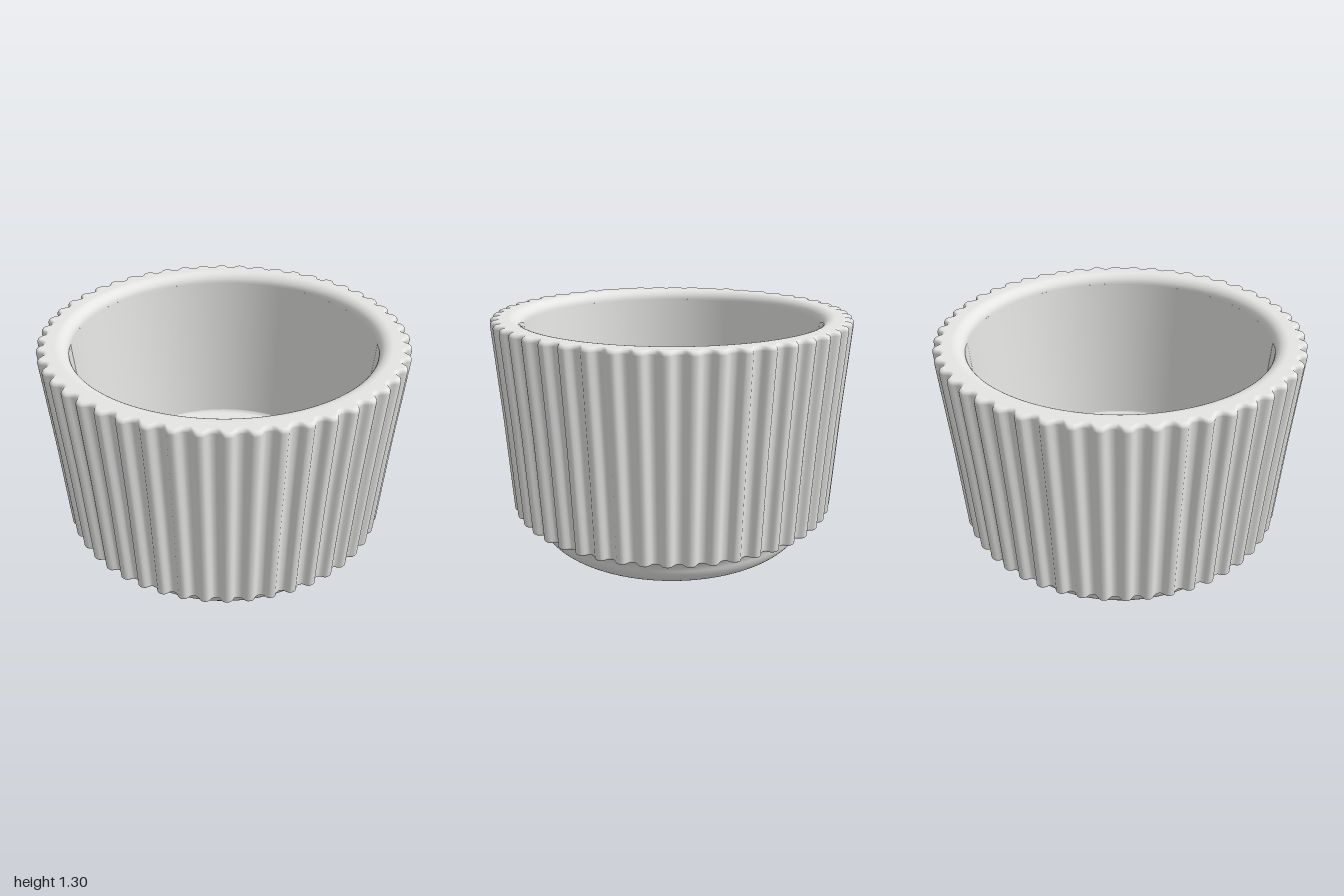
import * as THREE from 'three';
import { mergeVertices } from 'three/addons/utils/BufferGeometryUtils.js';

const RIBS = 50;
const DEPTH = 0.034;
const FLOOR = 0.3;

// points on an elliptical arc, angles in degrees
function arc(cx, cy, rx, ry, from, to, steps) {
  const pts = [];
  for (let i = 0; i <= steps; i++) {
    const a = THREE.MathUtils.degToRad(from + ((to - from) * i) / steps);
    pts.push([cx + rx * Math.cos(a), cy + ry * Math.sin(a), 1]);
  }
  return pts;
}

// inset of the wall at an angle: rounded ribs with steep flanks
function groove(phi) {
  const wave = Math.tanh(1.5 * Math.cos(RIBS * phi)) / Math.tanh(1.5);
  return DEPTH * 0.5 * (1 - wave);
}

// turned surface; each profile point is [radius, height, rib strength 0..1]
function turned(profile, segments) {
  const geo = new THREE.LatheGeometry(profile.map(([r, y]) => new THREE.Vector2(r, y)), segments);
  const pos = geo.attributes.position;
  const rows = profile.length;
  for (let i = 0; i < pos.count; i++) {
    const [r, y, rib] = profile[i % rows];
    const phi = (Math.floor(i / rows) % segments) / segments * Math.PI * 2;
    const radius = r - rib * groove(phi);
    pos.setXYZ(i, radius * Math.sin(phi), y, radius * Math.cos(phi));
  }
  geo.deleteAttribute('normal');
  geo.deleteAttribute('uv');
  const merged = mergeVertices(geo, 1e-5);
  merged.computeVertexNormals();
  return merged;
}

const smooth = (pts) => pts.map(([r, y]) => [r, y, 0]);

export function createModel() {
  const group = new THREE.Group();
  const clay = new THREE.MeshStandardMaterial({ color: 0xe5e5e4 });
  clay.name = 'pale grey clay';

  const add = (name, profile, segments) => {
    const mesh = new THREE.Mesh(turned(profile, segments), clay);
    mesh.name = name;
    group.add(mesh);
  };

  // rounded foot flowing in one S-curve into the underside of the body
  add('foot', smooth([
    [0, 0], [0.4, 0], [0.64, 0],
    ...arc(0.675, 0.13, 0.13, 0.13, -90, -12, 12),
    ...arc(0.89, 0.08, 0.09, 0.12, 166, 90, 12),
  ]), 200);

  // ribbed wall with softened edges and a rounded inner lip
  add('ribbedBody', [
    [0.86, 0.2, 0], [0.89, 0.2, 0],
    ...arc(0.92, 0.215, 0.02, 0.015, -90, 0, 5),
    [0.967, 0.76, 1],
    ...arc(0.978, 1.278, 0.022, 0.022, 0, 90, 6),
    [0.93, 1.3, 0.4], [0.9, 1.3, 0],
    ...smooth(arc(0.9, 1.24, 0.068, 0.06, 98, 180, 8)),
  ], RIBS * 12);

  // tapered inner wall
  add('innerWall', smooth([[0.832, 1.24], [0.803, 0.78], [0.774, FLOOR + 0.02]]), 200);

  // floor with a small fillet
  add('innerFloor', smooth([
    [0.774, FLOOR + 0.02], [0.768, FLOOR + 0.006], [0.755, FLOOR], [0.7, FLOOR], [0, FLOOR],
  ]), 200);

  return group;
}
